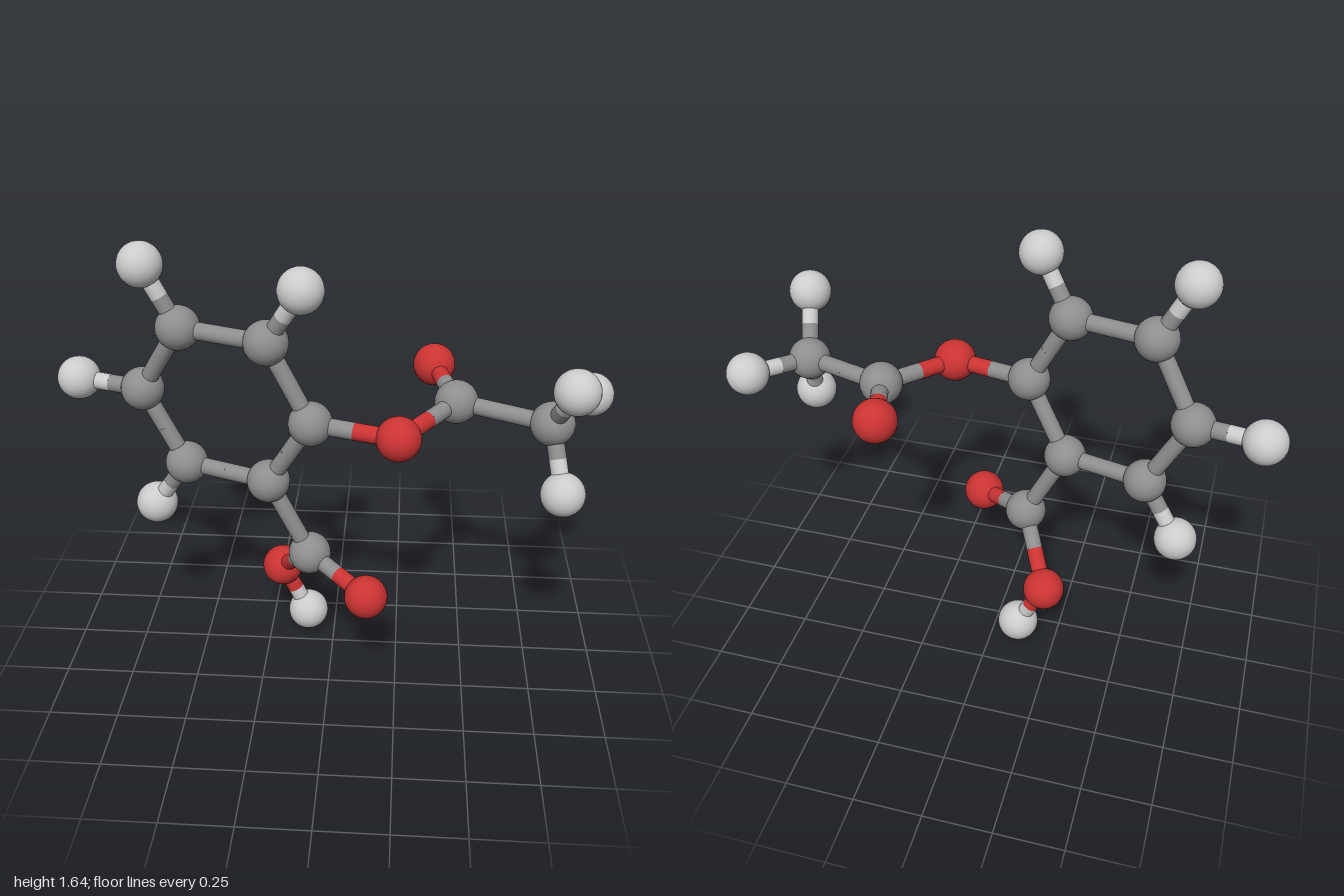
import * as THREE from 'three';

const ATOM_RADIUS = 0.078;
const BOND_RADIUS = 0.031;

export function createModel() {
  const model = new THREE.Group();
  model.name = 'molecule';

  const materials = {
    carbon: new THREE.MeshStandardMaterial({ color: 0x8e8e8e }),
    oxygen: new THREE.MeshStandardMaterial({ color: 0xcc3333 }),
    hydrogen: new THREE.MeshStandardMaterial({ color: 0xcccccc }),
  };
  for (const key in materials) materials[key].name = key + 'Colour';

  // Atoms: element and centre
  const atoms = {
    ring1: ['carbon', -0.065, 1.047, 0.175],
    ring2: ['carbon', -0.224, 0.78, 0.105],
    ring3: ['carbon', -0.535, 0.798, 0.015],
    ring4: ['carbon', -0.68, 1.083, 0.0],
    ring5: ['carbon', -0.522, 1.348, 0.08],
    ring6: ['carbon', -0.212, 1.333, 0.16],
    ringH3: ['hydrogen', -0.67, 0.596, -0.035],
    ringH4: ['hydrogen', -0.923, 1.095, -0.053],
    ringH5: ['hydrogen', -0.635, 1.568, 0.08],
    ringH6: ['hydrogen', -0.088, 1.538, 0.22],
    acidC: ['carbon', -0.078, 0.483, 0.107],
    acidO: ['oxygen', 0.137, 0.407, 0.27],
    hydroxylO: ['oxygen', -0.204, 0.286, -0.103],
    hydroxylH: ['hydrogen', -0.104, 0.083, -0.097],
    esterO: ['oxygen', 0.238, 1.034, 0.246],
    esterC: ['carbon', 0.437, 1.06, -0.01],
    carbonylO: ['oxygen', 0.361, 1.09, -0.272],
    methylC: ['carbon', 0.763, 1.04, 0.105],
    methylH1: ['hydrogen', 0.808, 1.232, 0.266],
    methylH2: ['hydrogen', 0.805, 0.825, 0.215],
    methylH3: ['hydrogen', 0.92, 1.067, -0.09],
  };

  const bonds = [
    ['ring1', 'ring2'], ['ring2', 'ring3'], ['ring3', 'ring4'],
    ['ring4', 'ring5'], ['ring5', 'ring6'], ['ring6', 'ring1'],
    ['ring3', 'ringH3'], ['ring4', 'ringH4'], ['ring5', 'ringH5'], ['ring6', 'ringH6'],
    ['ring2', 'acidC'], ['acidC', 'acidO'], ['acidC', 'hydroxylO'], ['hydroxylO', 'hydroxylH'],
    ['ring1', 'esterO'], ['esterO', 'esterC'], ['esterC', 'carbonylO'], ['esterC', 'methylC'],
    ['methylC', 'methylH1'], ['methylC', 'methylH2'], ['methylC', 'methylH3'],
  ];

  const position = (key) => new THREE.Vector3(...atoms[key].slice(1));

  // Balls
  const ball = new THREE.SphereGeometry(ATOM_RADIUS, 32, 20);
  for (const key in atoms) {
    const mesh = new THREE.Mesh(ball, materials[atoms[key][0]]);
    mesh.name = key + 'Atom';
    mesh.position.copy(position(key));
    model.add(mesh);
  }

  // Sticks: each half takes the colour of the atom it touches
  const stick = new THREE.CylinderGeometry(BOND_RADIUS, BOND_RADIUS, 1, 20, 1, true);
  const up = new THREE.Vector3(0, 1, 0);
  function addHalfBond(key, middle, name) {
    const start = position(key);
    const along = middle.clone().sub(start);
    const mesh = new THREE.Mesh(stick, materials[atoms[key][0]]);
    mesh.name = name;
    mesh.position.copy(start).add(middle).multiplyScalar(0.5);
    mesh.scale.y = along.length();
    mesh.quaternion.setFromUnitVectors(up, along.normalize());
    model.add(mesh);
  }
  for (const [a, b] of bonds) {
    const middle = position(a).add(position(b)).multiplyScalar(0.5);
    addHalfBond(a, middle, `${a}To${b}BondStart`);
    addHalfBond(b, middle, `${a}To${b}BondEnd`);
  }

  return model;
}
